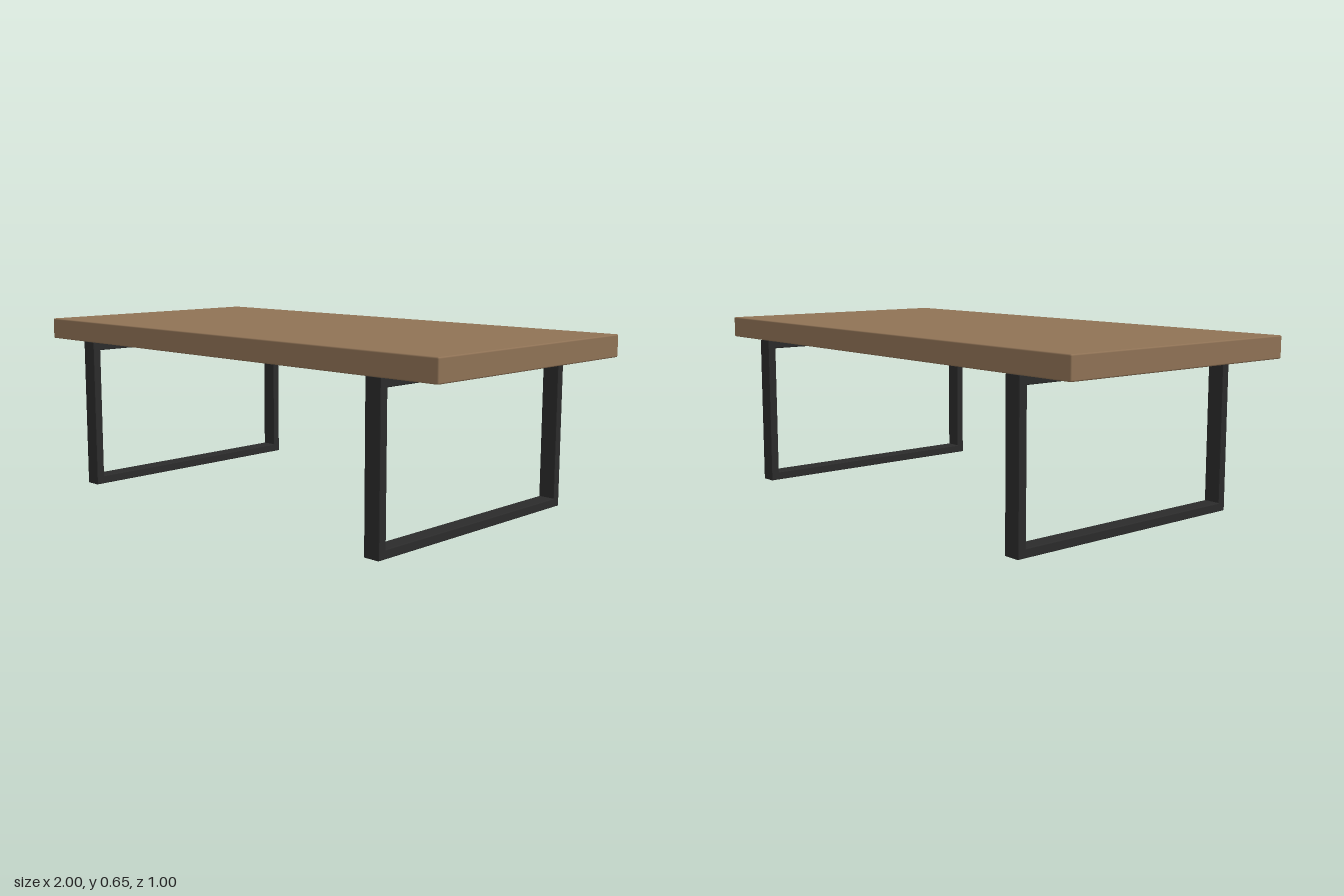
import * as THREE from 'three';
import { RoundedBoxGeometry } from 'three/addons/geometries/RoundedBoxGeometry.js';

const TOP_Y = 0.65, TOP_THICK = 0.08, DEPTH = 1;
const BAR = 0.032, LEG_WIDTH = 0.064, LEG_X = 0.75, BEVEL = 0.003;

// Closed rectangular loop, drawn in the z-y plane and extruded along x
function frameGeometry(width, height) {
  const rect = (Path, inset) => {
    const x = width / 2 - inset, y0 = inset, y1 = height - inset;
    return new Path([[-x, y0], [x, y0], [x, y1], [-x, y1]].map(p => new THREE.Vector2(...p)));
  };
  const shape = rect(THREE.Shape, 0);
  shape.holes.push(rect(THREE.Path, BAR));
  const depth = LEG_WIDTH - 2 * BEVEL;
  const geometry = new THREE.ExtrudeGeometry(shape, {
    depth, bevelThickness: BEVEL, bevelSize: BEVEL, bevelOffset: -BEVEL, bevelSegments: 2,
  });
  return geometry.translate(0, 0, -depth / 2).rotateY(Math.PI / 2);
}

export function createModel() {
  const table = new THREE.Group();
  table.name = 'coffeeTable';

  const wood = new THREE.MeshStandardMaterial({ color: 0x8f7255 });
  wood.name = 'brown wood';
  const metal = new THREE.MeshStandardMaterial({ color: 0x2b2b2b });
  metal.name = 'black metal';

  // Thick slab with softly eased edges
  const top = new THREE.Mesh(new RoundedBoxGeometry(2, TOP_THICK, DEPTH, 3, 0.005), wood);
  top.name = 'tableTop';
  top.position.y = TOP_Y - TOP_THICK / 2;
  table.add(top);

  // One loop leg near each end
  const legGeometry = frameGeometry(DEPTH, TOP_Y - TOP_THICK);
  for (const [name, side] of [['leftLegFrame', 1], ['rightLegFrame', -1]]) {
    const leg = new THREE.Mesh(legGeometry, metal);
    leg.name = name;
    leg.position.x = side * LEG_X;
    table.add(leg);
  }
  return table;
}
